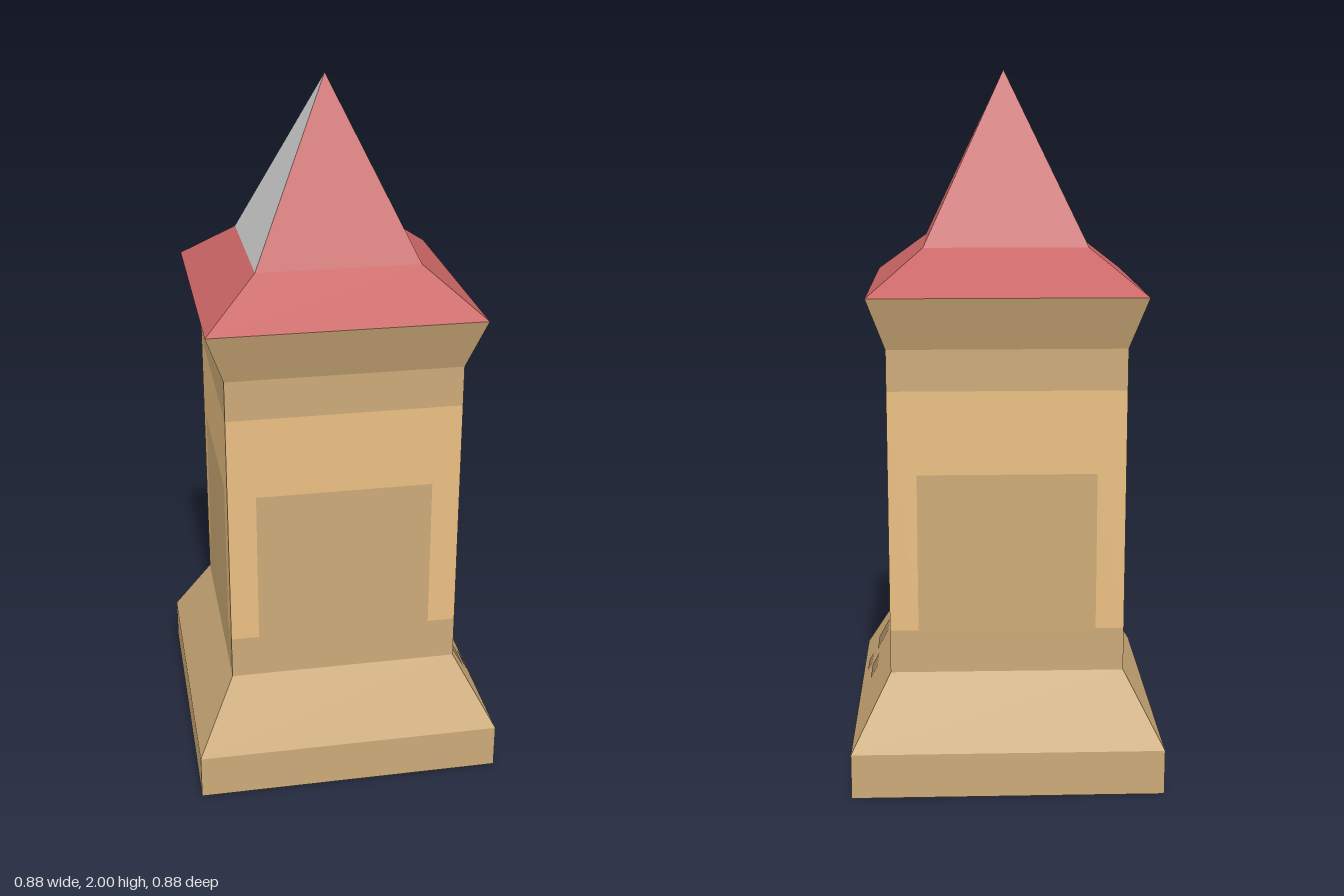
import * as THREE from 'three';

const paint = (color) => new THREE.MeshStandardMaterial({ color, flatShading: true, side: THREE.DoubleSide });

export function createModel() {
  const tower = new THREE.Group();
  tower.name = 'tower';
  const stone = paint(0xccaa77);
  const plaster = paint(0xeabf83);
  const shadow = paint(0xa28860);
  const tile = paint(0xc86464);
  const grey = paint(0xcccccc);

  const add = (parent, name, geometry, material) => {
    const mesh = new THREE.Mesh(geometry, material);
    mesh.name = name;
    parent.add(mesh);
    return mesh;
  };

  // Square band between two heights, given half widths; covers some or all sides
  const band = (name, y0, half0, y1, half1, material, sides = 4, firstSide = 0) => {
    const geometry = new THREE.CylinderGeometry(half1 * Math.SQRT2, half0 * Math.SQRT2, y1 - y0, sides, 1, true,
      -Math.PI / 4 + firstSide * Math.PI / 2, sides * Math.PI / 2);
    add(tower, name, geometry, material).position.y = (y0 + y1) / 2;
  };

  const outline = (points) => new THREE.Shape(points.map(([x, y]) => new THREE.Vector2(x, y)));

  // Stone base, wall bands and cornice
  band('plinth', 0, 0.44, 0.13, 0.44, stone);
  band('baseSlope', 0.13, 0.44, 0.33, 0.33, stone);
  band('lowerWallBand', 0.33, 0.33, 0.455, 0.33, stone);
  band('upperWallBand', 1.14, 0.33, 1.255, 0.33, stone);
  band('cornice', 1.255, 0.33, 1.4, 0.38, stone);
  add(tower, 'underside', new THREE.PlaneGeometry(0.88, 0.88), stone).rotation.x = Math.PI / 2;

  // Roof: flared eaves and a spire with one grey side
  band('eaves', 1.4, 0.38, 1.52, 0.228, tile);
  band('spire', 1.52, 0.228, 2, 0, tile, 3, 0 - 0);
  band('greySpireSide', 1.52, 0.228, 2, 0, grey, 1, 3);

  // Arched window outline
  const arch = () => {
    const s = new THREE.Shape();
    s.moveTo(-0.045, 0.58);
    s.lineTo(0.045, 0.58);
    s.lineTo(0.045, 0.725);
    s.absarc(0, 0.725, 0.045, 0, Math.PI, false);
    s.closePath();
    return s;
  };

  // Four walls: plaster surround with a flush stone panel; sides run front, left, back, right
  for (let i = 0; i < 4; i++) {
    const wall = new THREE.Group();
    wall.name = 'wall';
    wall.rotation.y = i * Math.PI / 2;
    tower.add(wall);
    const surround = outline([[-0.33, 0.455], [-0.25, 0.455], [-0.25, 0.905], [0.25, 0.905],
      [0.25, 0.455], [0.33, 0.455], [0.33, 1.14], [-0.33, 1.14]]);
    const panel = outline([[-0.25, 0.455], [0.25, 0.455], [0.25, 0.905], [-0.25, 0.905]]);
    if (i === 1) panel.holes.push(arch());
    add(wall, 'plasterSurround', new THREE.ShapeGeometry(surround), plaster).position.z = 0.33;
    add(wall, 'wallPanel', new THREE.ShapeGeometry(panel), stone).position.z = 0.33;

    if (i === 1) {
      add(wall, 'window', new THREE.ShapeGeometry(arch()), shadow).position.z = 0.33;
      // Exposed bricks lying on the base slope: centre x, centre y, width, height
      const lean = Math.atan2(0.11, 0.2);
      for (const [x, y, w, h] of [[-0.189, 0.25, 0.108, 0.06], [-0.006, 0.216, 0.113, 0.038], [-0.135, 0.178, 0.08, 0.026]]) {
        const brick = add(wall, 'brick', new THREE.PlaneGeometry(w, h / Math.cos(lean)), shadow);
        brick.position.set(x, y, 0.44 - (y - 0.13) * 0.55 + 0.002);
        brick.rotation.x = -lean;
      }
    }
  }
  return tower;
}
